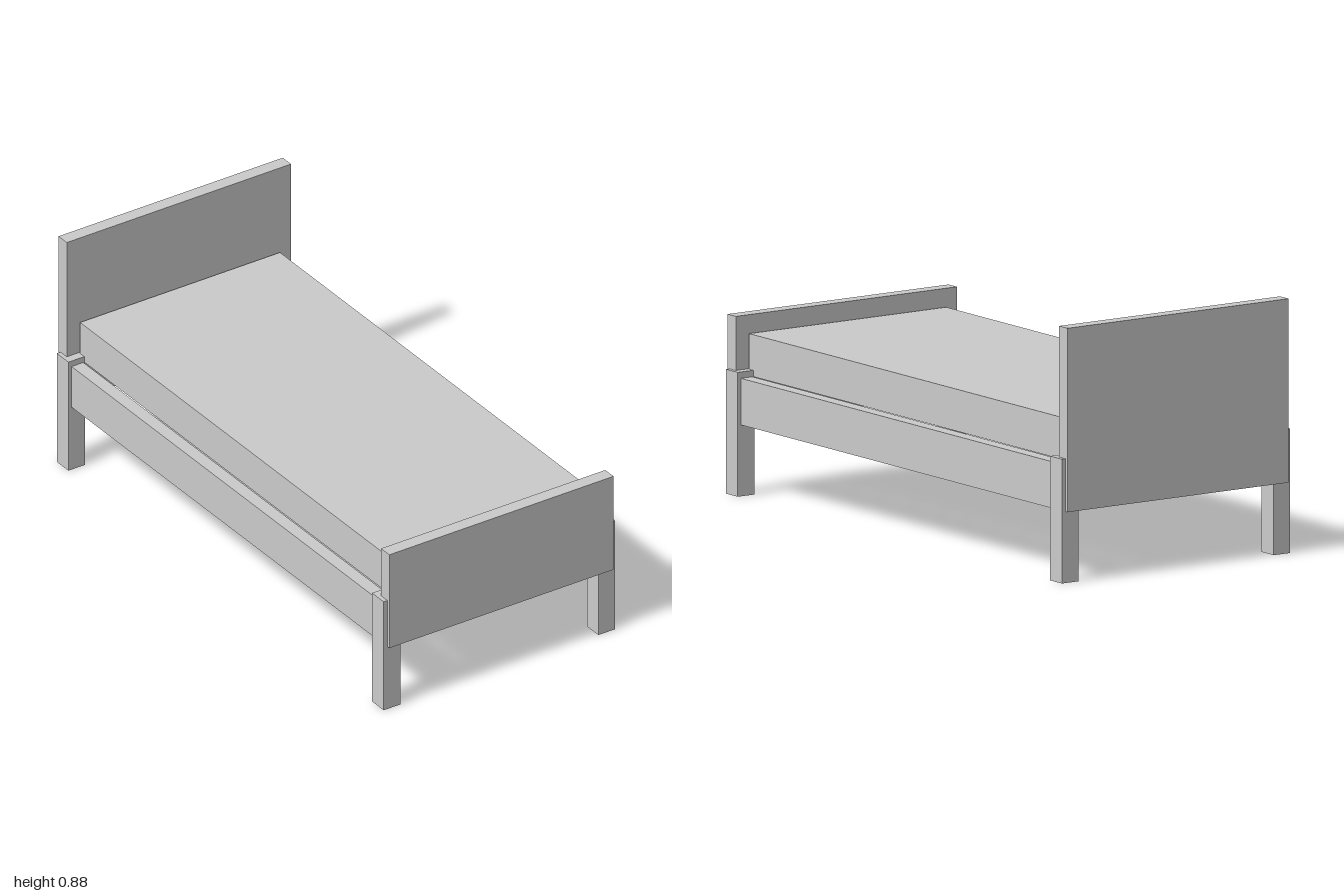
import * as THREE from 'three';

const material = new THREE.MeshStandardMaterial({ color: 0xcccccc });

// Box given by its lower and upper corners
function box(name, [x0, y0, z0], [x1, y1, z1]) {
  const mesh = new THREE.Mesh(new THREE.BoxGeometry(x1 - x0, y1 - y0, z1 - z0), material);
  mesh.name = name;
  mesh.position.set((x0 + x1) / 2, (y0 + y1) / 2, (z0 + z1) / 2);
  return mesh;
}

export function createModel() {
  const bed = new THREE.Group();
  bed.name = 'bed';

  // End boards: tall at the head, low at the foot
  bed.add(box('headboard', [-0.46, 0.247, -1], [0.46, 0.883, -0.95]));
  bed.add(box('footboard', [-0.46, 0.247, 0.95], [0.46, 0.617, 1]));

  // Mattress resting level with the tops of the side rails
  bed.add(box('mattress', [-0.41, 0.408, -0.943], [0.41, 0.553, 0.943]));

  for (const side of [1, -1]) {
    const sideName = side > 0 ? 'left' : 'right';

    // Side rail
    const rail = box(sideName + 'SideRail', [0.414, 0.247, -0.95], [0.462, 0.408, 0.95]);
    rail.position.x *= side;
    bed.add(rail);

    // Corner legs
    for (const end of [1, -1]) {
      const leg = box(sideName + (end > 0 ? 'Front' : 'Back') + 'Leg', [0.406, 0, 0.918], [0.475, 0.43, 0.988]);
      leg.position.x *= side;
      leg.position.z *= end;
      bed.add(leg);
    }
  }
  return bed;
}
